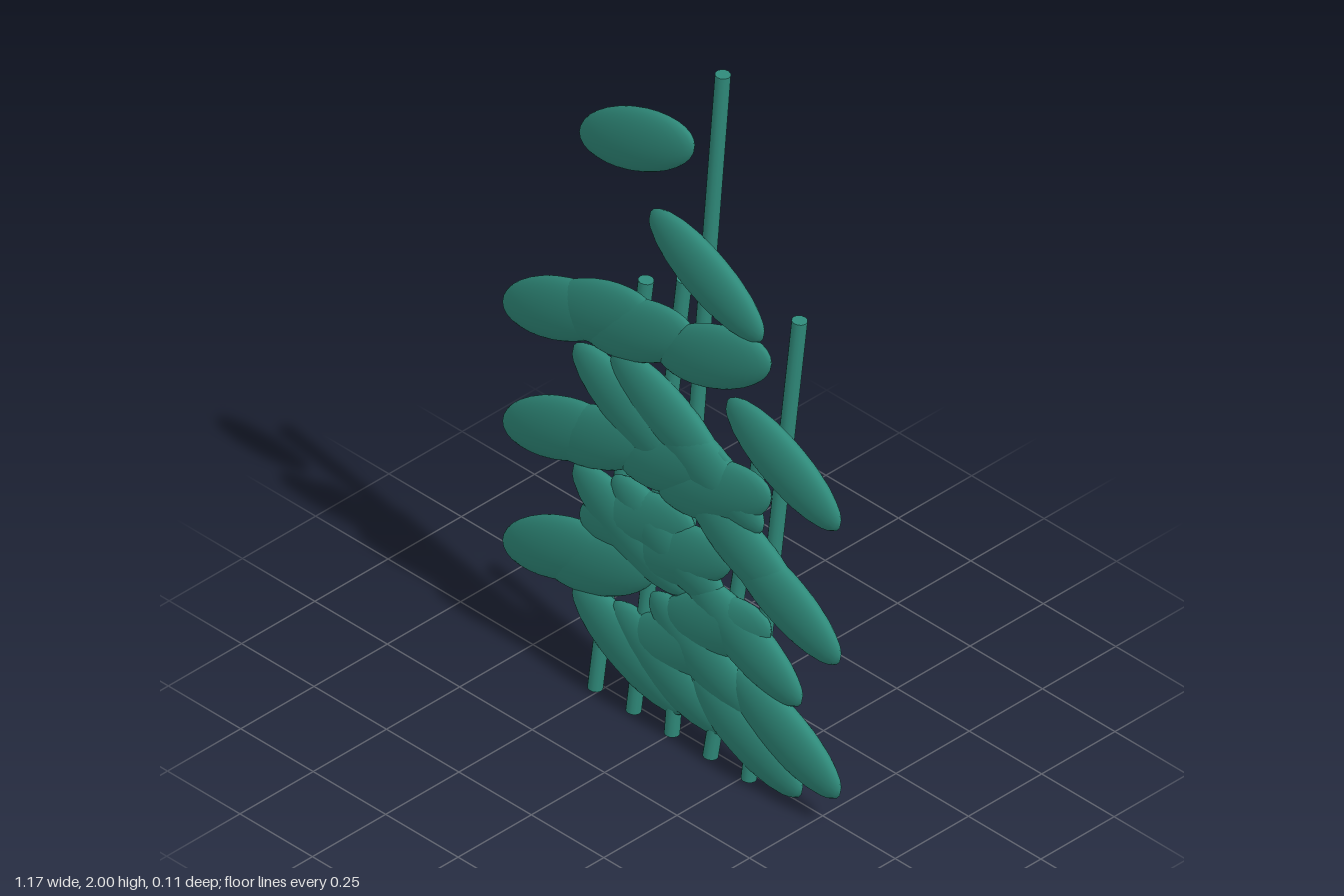
import * as THREE from 'three';

// A flat row of leaning stems, each with leaves alternating left and right.
export function createModel() {
  const group = new THREE.Group();
  const material = new THREE.MeshStandardMaterial({ color: 0x2f8a7a });
  const heights = [1.25, 1.32, 2, 0.95, 1.4];
  const spacing = 0.1325;
  const leavesPerStem = 6;

  // Flattened ellipsoid shared by all leaves
  const leafGeometry = new THREE.SphereGeometry(1, 24, 16);
  leafGeometry.scale(0.215, 0.087, 0.035);

  heights.forEach((height, i) => {
    const plant = new THREE.Group();
    plant.name = `plant${i + 1}`;
    plant.position.x = (i - 2) * spacing;

    // Stem leaning sideways and back
    const base = new THREE.Vector3(0, 0, 0.02);
    const top = new THREE.Vector3(0.118, height, -0.037);
    const direction = top.clone().sub(base);
    const stem = new THREE.Mesh(
      new THREE.CylinderGeometry(0.02, 0.02, direction.length(), 12), material);
    stem.name = 'stem';
    stem.position.copy(base).add(top).multiplyScalar(0.5);
    stem.quaternion.setFromUnitVectors(new THREE.Vector3(0, 1, 0), direction.normalize());
    plant.add(stem);

    // Leaves droop outward, alternating sides
    for (let k = 1; k <= leavesPerStem; k++) {
      const side = k % 2 ? 1 : -1;
      const leaf = new THREE.Mesh(leafGeometry, material);
      leaf.name = side > 0 ? 'leftLeaf' : 'rightLeaf';
      leaf.position.set(side * 0.12, (height * k) / (leavesPerStem + 1), 0.02);
      leaf.rotation.z = -side * THREE.MathUtils.degToRad(25.5);
      plant.add(leaf);
    }
    group.add(plant);
  });
  return group;
}
